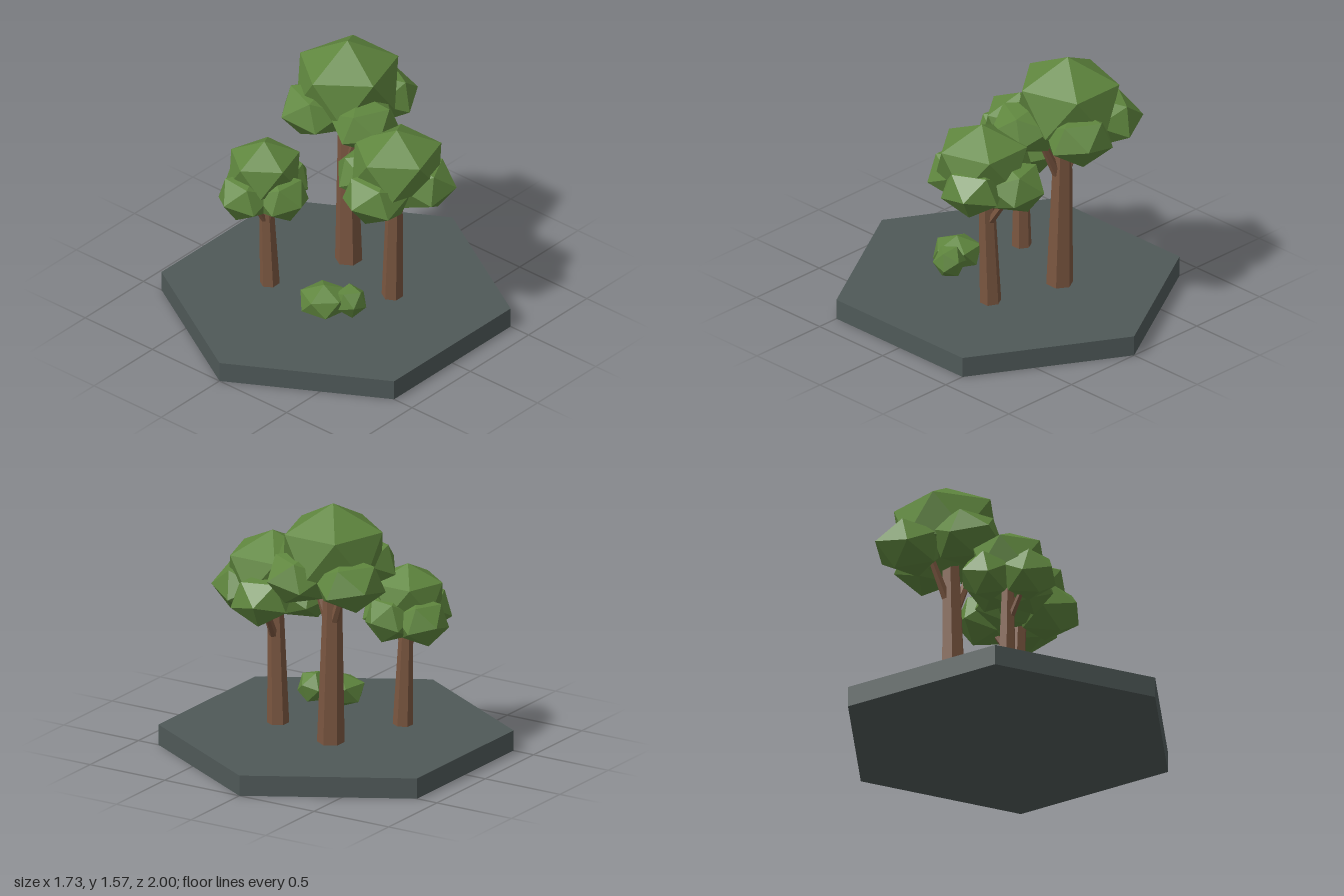
import * as THREE from 'three';

const V = (p) => new THREE.Vector3(...p);
const mat = (name, color, flatShading = true) => {
  const m = new THREE.MeshStandardMaterial({ color, flatShading });
  m.name = name;
  return m;
};

export function createModel() {
  const leaf = mat('leaf green', 0x5f863e);
  const bark = mat('bark brown', 0x7a5640);
  const stone = mat('slate grey', 0x4f5958);
  const model = new THREE.Group();
  model.name = 'treeGrove';

  const add = (parent, name, geometry, material) => {
    const mesh = new THREE.Mesh(geometry, material);
    mesh.name = name;
    parent.add(mesh);
    return mesh;
  };

  // Tapered six-sided limb between two points
  const limb = (parent, name, from, to, r0, r1) => {
    const a = V(from), b = V(to), d = b.clone().sub(a);
    const mesh = add(parent, name, new THREE.CylinderGeometry(r1, r0, d.length(), 6), bark);
    mesh.position.copy(a).add(b).multiplyScalar(0.5);
    mesh.quaternion.setFromUnitVectors(new THREE.Vector3(0, 1, 0), d.normalize());
  };

  // Squashed icosahedron; tilt turns one corner up (crowns) or outward (clusters)
  const UP = -Math.atan((1 + Math.sqrt(5)) / 2), OUT = Math.PI / 2 + UP;
  const foliage = (parent, name, centre, radii, tilt, yaw = 0) => {
    const g = new THREE.IcosahedronGeometry(1, 0).rotateX(tilt).scale(...radii);
    g.rotateY(yaw).translate(...centre);
    add(parent, name, g, leaf);
  };

  // Hexagonal ground slab
  add(model, 'base', new THREE.CylinderGeometry(1, 1, 0.12, 6).translate(0, 0.06, 0), stone);

  // Trees: trunk, branches, top crown and a ring of lower leaf clusters [x, y, z, r]
  const trees = [
    {
      name: 'tallTree', foot: [-0.14, 0.14, -0.27], top: [-0.16, 1.15, -0.28], r: [0.078, 0.05],
      branches: [
        [[-0.15, 0.78, -0.27], [0.0, 1.12, -0.24]],
        [[-0.15, 0.8, -0.28], [-0.28, 1.12, -0.34]],
      ],
      crown: [-0.175, 1.3, -0.3], radii: [0.32, 0.27, 0.335], ry: 0.16,
      clusters: [[-0.36, 1.16, -0.42, 0.215], [-0.07, 1.17, -0.49, 0.205],
        [0.05, 1.17, -0.19, 0.21], [-0.25, 1.18, -0.11, 0.215]],
    },
    {
      name: 'mediumTree', foot: [0.29, 0.14, -0.15], top: [0.318, 0.95, -0.14], r: [0.062, 0.043],
      branches: [
        [[0.31, 0.65, -0.16], [0.28, 0.9, -0.32]],
        [[0.32, 0.6, -0.15], [0.34, 0.88, -0.12]],
      ],
      crown: [0.34, 1.05, -0.13], radii: [0.285, 0.22, 0.29], ry: 0.158,
      clusters: [[0.475, 0.94, -0.2, 0.195], [0.335, 0.91, 0.04, 0.205],
        [0.15, 0.93, -0.1, 0.195], [0.28, 0.93, -0.33, 0.19]],
    },
    {
      name: 'smallTree', foot: [-0.315, 0.14, 0.205], top: [-0.33, 0.85, 0.225], r: [0.057, 0.035],
      branches: [
        [[-0.32, 0.54, 0.22], [-0.34, 0.74, 0.34]],
        [[-0.315, 0.52, 0.215], [-0.27, 0.76, 0.23]],
      ],
      crown: [-0.33, 0.91, 0.235], radii: [0.225, 0.18, 0.23], ry: 0.146,
      clusters: [[-0.465, 0.79, 0.17, 0.16], [-0.345, 0.79, 0.375, 0.17],
        [-0.19, 0.79, 0.25, 0.165], [-0.3, 0.8, 0.1, 0.155]],
    },
  ];
  for (const t of trees) {
    const tree = new THREE.Group();
    tree.name = t.name;
    model.add(tree);
    limb(tree, 'trunk', t.foot, t.top, ...t.r);
    for (const [a, b] of t.branches) limb(tree, 'branch', a, b, t.r[1] * 0.6, t.r[1] * 0.4);
    foliage(tree, 'crown', t.crown, t.radii, UP);
    for (const [x, y, z, r] of t.clusters) {
      const yaw = Math.atan2(x - t.crown[0], z - t.crown[2]);
      foliage(tree, 'leafCluster', [x, y, z], [r, t.ry, r], OUT, yaw);
    }
  }

  // Low bush
  const bush = new THREE.Group();
  bush.name = 'bush';
  model.add(bush);
  foliage(bush, 'bushLarge', [0.14, 0.245, 0.265], [0.152, 0.1, 0.152], UP, 0.15);
  foliage(bush, 'bushSmall', [0.275, 0.26, 0.19], [0.095, 0.1, 0.095], OUT, 0.9);

  return model;
}
